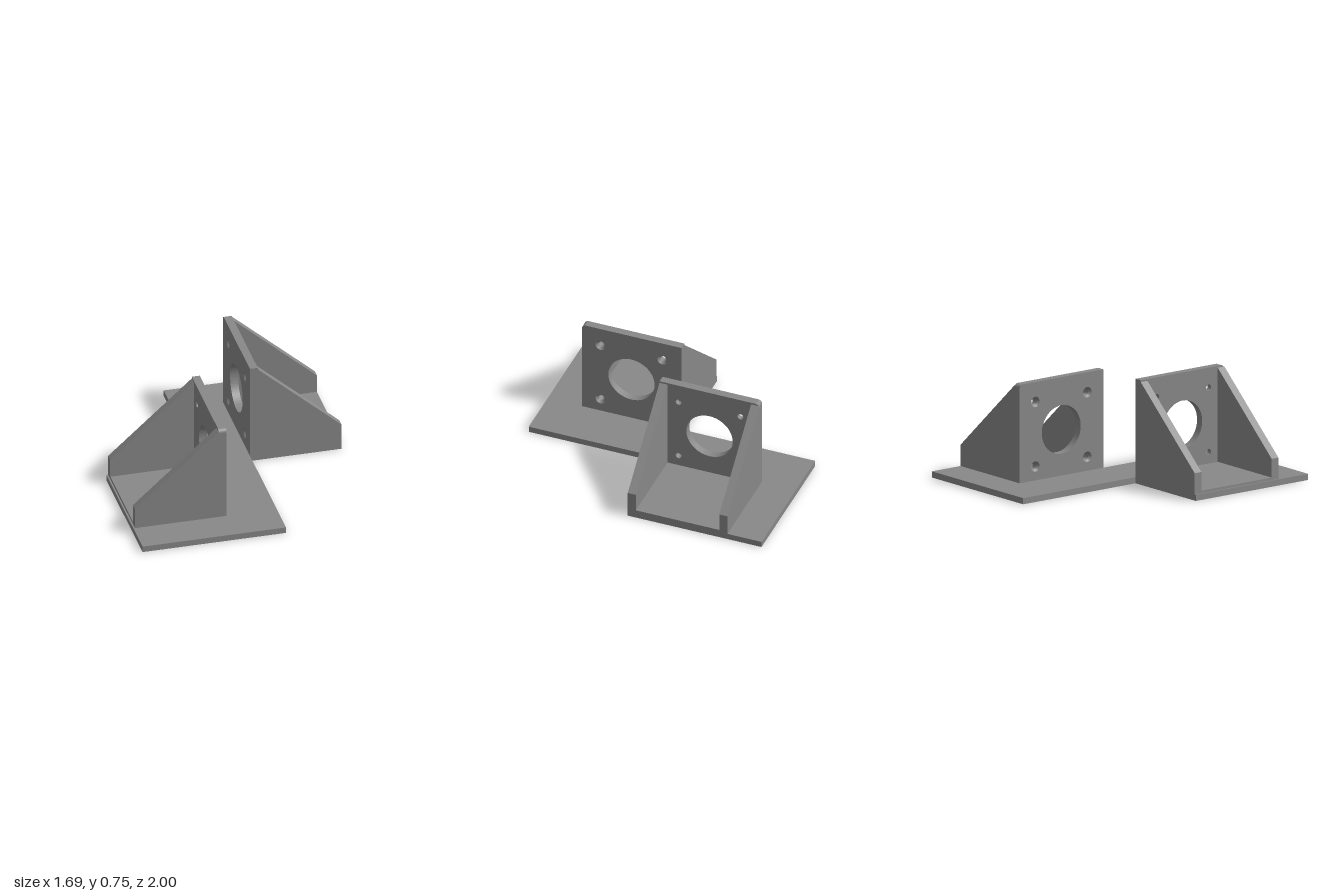
import * as THREE from 'three';

const material = new THREE.MeshStandardMaterial({ color: 0x888888 });
const openMaterial = new THREE.MeshStandardMaterial({ color: 0x888888, side: THREE.DoubleSide });

const PLATE = 0.044, WIDTH = 0.745, TOP = 0.748, WALL = 0.057, SINK = 0.018;
const WALL_X = 0.186, END_X = 0.845, RIB = 0.06;
const CENTRE = 0.374, BOLT = 0.231;
const boltCentres = [[-1, -1], [1, -1], [1, 1], [-1, 1]]
  .map(([a, b]) => [CENTRE + a * BOLT, CENTRE + b * BOLT]);

function add(group, name, geometry, mat = material) {
  const mesh = new THREE.Mesh(geometry, mat);
  mesh.name = name;
  group.add(mesh);
  return mesh;
}

function extrude(shape, depth) {
  return new THREE.ExtrudeGeometry(shape, { depth, bevelEnabled: false, curveSegments: 32 });
}

function polygon(points) {
  return new THREE.Shape(points.map(([x, y]) => new THREE.Vector2(x, y)));
}

// Wall outline with one rounded top corner, a shaft hole and four bolt holes
function wallShape(boltRadius) {
  const r = 0.03;
  const shape = new THREE.Shape();
  shape.moveTo(0, PLATE);
  shape.lineTo(WIDTH, PLATE);
  shape.lineTo(WIDTH, TOP - r);
  shape.absarc(WIDTH - r, TOP - r, r, 0, Math.PI / 2, false);
  shape.lineTo(0, TOP);
  shape.closePath();
  for (const [u, v, radius] of [[CENTRE, CENTRE, 0.173], ...boltCentres.map((c) => [...c, boltRadius])]) {
    const hole = new THREE.Path();
    hole.absarc(u, v, radius, 0, Math.PI * 2, true);
    shape.holes.push(hole);
  }
  return shape;
}

function createBracket(name) {
  const bracket = new THREE.Group();
  bracket.name = name;

  // Mounting wall in two layers: countersunk face, then plain bolt holes
  add(bracket, 'wallFace', extrude(wallShape(0.0375), SINK).rotateY(Math.PI / 2).translate(WALL_X, 0, 0));
  add(bracket, 'wallBack', extrude(wallShape(0.022), WALL - SINK).rotateY(Math.PI / 2)
    .translate(WALL_X + SINK, 0, 0));
  for (const [u, v] of boltCentres) {
    const cone = new THREE.CylinderGeometry(0.0375, 0.022, SINK, 32, 1, true).rotateZ(Math.PI / 2);
    add(bracket, 'countersink', cone, openMaterial).position.set(WALL_X + SINK / 2, v, -u);
  }

  // Sloping side ribs
  const x0 = WALL_X + WALL;
  const rib = polygon([[x0, PLATE], [END_X, PLATE], [END_X, 0.196], [x0, 0.735]]);
  for (const z of [-RIB, -WIDTH]) {
    add(bracket, 'sideRib', extrude(rib, RIB).translate(0, 0, z));
  }

  // Raised floor between the ribs
  const floor = new THREE.BoxGeometry(END_X - x0, 0.062 - PLATE, WIDTH - 2 * RIB);
  add(bracket, 'bracketFloor', floor).position.set((x0 + END_X) / 2, (0.062 + PLATE) / 2, -WIDTH / 2);
  return bracket;
}

export function createModel() {
  const model = new THREE.Group();
  model.name = 'doubleMotorMount';

  // Offset base plate, outlined in x and -z
  const outline = polygon([
    [-END_X, -1], [WALL_X, -1], [WALL_X, 0], [END_X, 0],
    [END_X, 1], [-0.174, 1], [-0.174, 0], [-END_X, 0],
  ]);
  add(model, 'basePlate', extrude(outline, PLATE).rotateX(-Math.PI / 2));

  // Two brackets facing each other, the second turned half round
  model.add(createBracket('leftBracket'));
  const opposite = createBracket('rightBracket');
  opposite.rotation.y = Math.PI;
  opposite.position.x = 0.012;
  model.add(opposite);
  return model;
}
